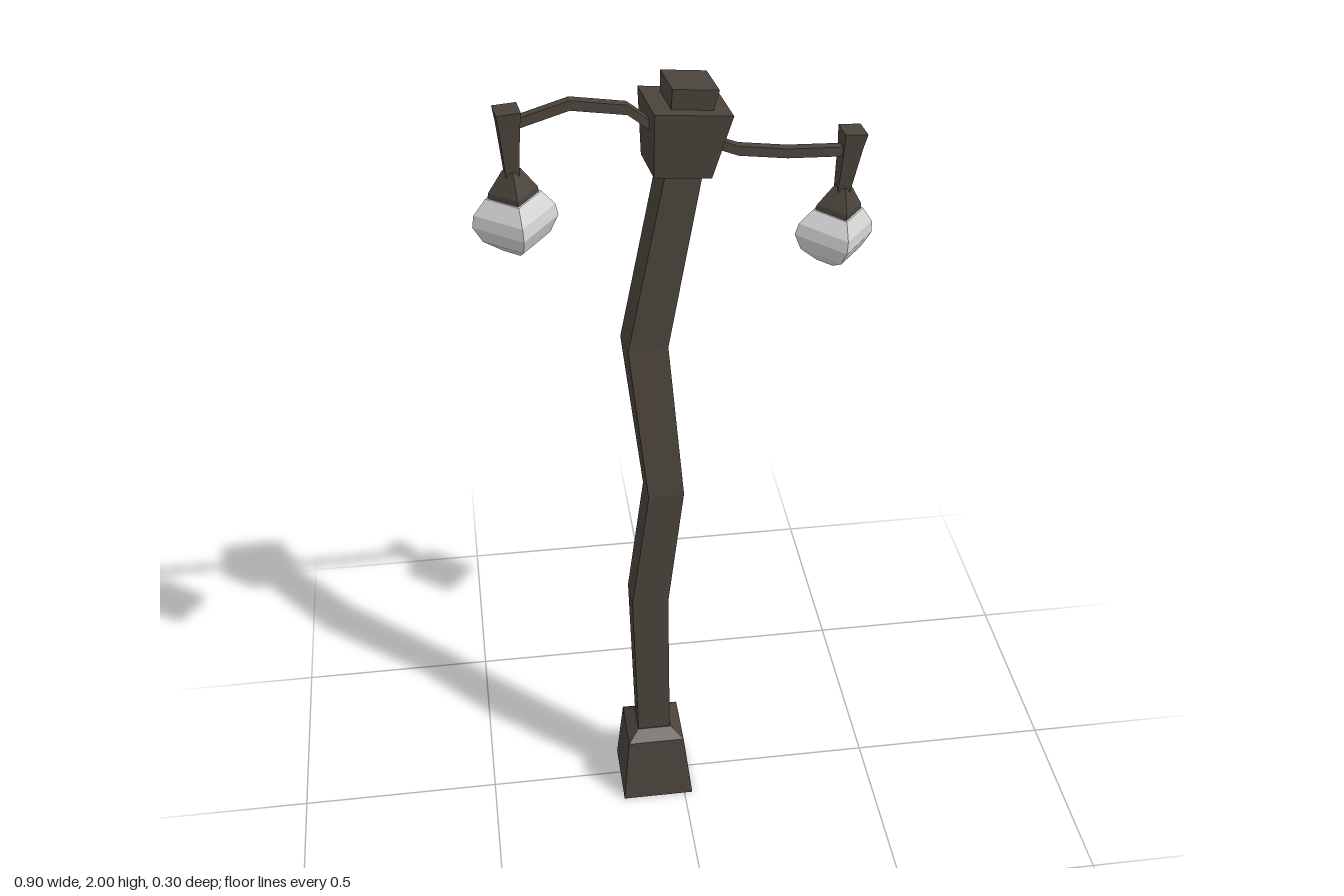
import * as THREE from 'three';

const iron = new THREE.MeshStandardMaterial({ color: 0x4a433b, flatShading: true });
iron.name = 'dark iron';
const glass = new THREE.MeshStandardMaterial({ color: 0xd6d6d6, flatShading: true });
glass.name = 'pale glass';

// Four-sided loft through rings [x, y, z, halfWidth, halfDepth, yaw], listed bottom to top
function loft(rings) {
  const corners = rings.map(([x, y, z, w, d, yaw]) =>
    [[1, 1], [1, -1], [-1, -1], [-1, 1]].map(([sx, sz]) => {
      const c = Math.cos(yaw), s = Math.sin(yaw);
      return [x + sx * w * c + sz * d * s, y, z - sx * w * s + sz * d * c];
    }));
  const pos = [];
  const quad = (a, b, c, d) => pos.push(...a, ...b, ...c, ...a, ...c, ...d);
  for (let i = 0; i < corners.length - 1; i++) {
    const lo = corners[i], hi = corners[i + 1];
    for (let k = 0; k < 4; k++) {
      const n = (k + 1) % 4;
      quad(lo[k], lo[n], hi[n], hi[k]);
    }
  }
  quad(...corners[0].slice().reverse());
  quad(...corners[corners.length - 1]);
  const geo = new THREE.BufferGeometry();
  geo.setAttribute('position', new THREE.Float32BufferAttribute(pos, 3));
  geo.computeVertexNormals();
  return geo;
}

function part(name, geometry, material) {
  const mesh = new THREE.Mesh(geometry, material);
  mesh.name = name;
  return mesh;
}

// Square beam along x through points given in order of rising x
function arm(name, points) {
  const geo = loft(points.map(([x, y, z]) => [-y, x, z, 0.011, 0.011, 0]));
  return part(name, geo.rotateZ(-Math.PI / 2), iron);
}

// Hanging lantern, with its origin at the top of the hanger
function lantern(name, position, tiltX, tiltZ) {
  const yaw = 0.91;
  const ring = (drop, diagonal) =>
    [0, -drop, 0, diagonal * Math.SQRT1_2, diagonal * Math.SQRT1_2, yaw];
  const group = new THREE.Group();
  group.name = name;
  group.add(
    part('hanger', loft([
      [0, -0.15, 0, 0.014, 0.014, 0.12],
      [0, -0.035, 0, 0.022, 0.022, 0.12],
      [0, 0, 0, 0.026, 0.026, 0.12]]), iron),
    part('lampCap', loft([ring(0.2, 0.055), ring(0.185, 0.053), ring(0.137, 0.02)]), iron),
    part('lampGlass', loft([
      ring(0.328, 0.03), ring(0.298, 0.073), ring(0.26, 0.093),
      ring(0.232, 0.088), ring(0.197, 0.06)]), glass));
  group.position.set(...position);
  group.rotation.set(tiltX, 0, tiltZ);
  return group;
}

export function createModel() {
  const model = new THREE.Group();
  model.name = 'crookedStreetLamp';

  // Tapered foot
  model.add(part('base', loft([
    [-0.07, 0, 0.009, 0.091, 0.091, 0],
    [-0.072, 0.18, 0.01, 0.072, 0.072, 0],
    [-0.074, 0.205, 0.012, 0.043, 0.043, 0]]), iron));

  // Crooked, slightly twisted post
  model.add(part('post', loft([
    [-0.074, 0.2, 0.012, 0.041, 0.041, 0],
    [-0.081, 0.63, 0.013, 0.045, 0.041, 0.02],
    [-0.042, 0.96, 0.026, 0.043, 0.034, 0.08],
    [-0.081, 1.36, 0.003, 0.047, 0.038, 0.12],
    [0.002, 1.81, 0.01, 0.042, 0.038, 0.12]]), iron));

  // Leaning head block with a small cap
  const head = new THREE.Group();
  head.name = 'head';
  head.add(
    part('headBlock', loft([
      [0, 0, 0, 0.064, 0.058, 0.12],
      [0, 0.15, 0, 0.086, 0.074, 0.12]]), iron),
    part('headCap', loft([
      [0.003, 0.14, 0, 0.045, 0.045, 0.12],
      [0.003, 0.197, 0, 0.051, 0.051, 0.12]]), iron));
  head.position.set(-0.008, 1.797, 0.011);
  head.rotation.z = -0.13;
  model.add(head);

  // Bent arms
  model.add(arm('rightArm', [
    [-0.365, 1.942, 0.07], [-0.34, 1.948, 0.068], [-0.235, 1.974, 0.054],
    [-0.115, 1.95, 0.039], [-0.05, 1.895, 0.03]]));
  model.add(arm('leftArm', [
    [0.04, 1.855, -0.006], [0.13, 1.817, -0.013],
    [0.24, 1.798, -0.025], [0.39, 1.784, -0.045]]));

  // Lanterns
  model.add(lantern('rightLantern', [-0.365, 1.977, 0.071], 0.04, 0.025));
  model.add(lantern('leftLantern', [0.389, 1.831, -0.045], 0.05, -0.11));
  return model;
}
